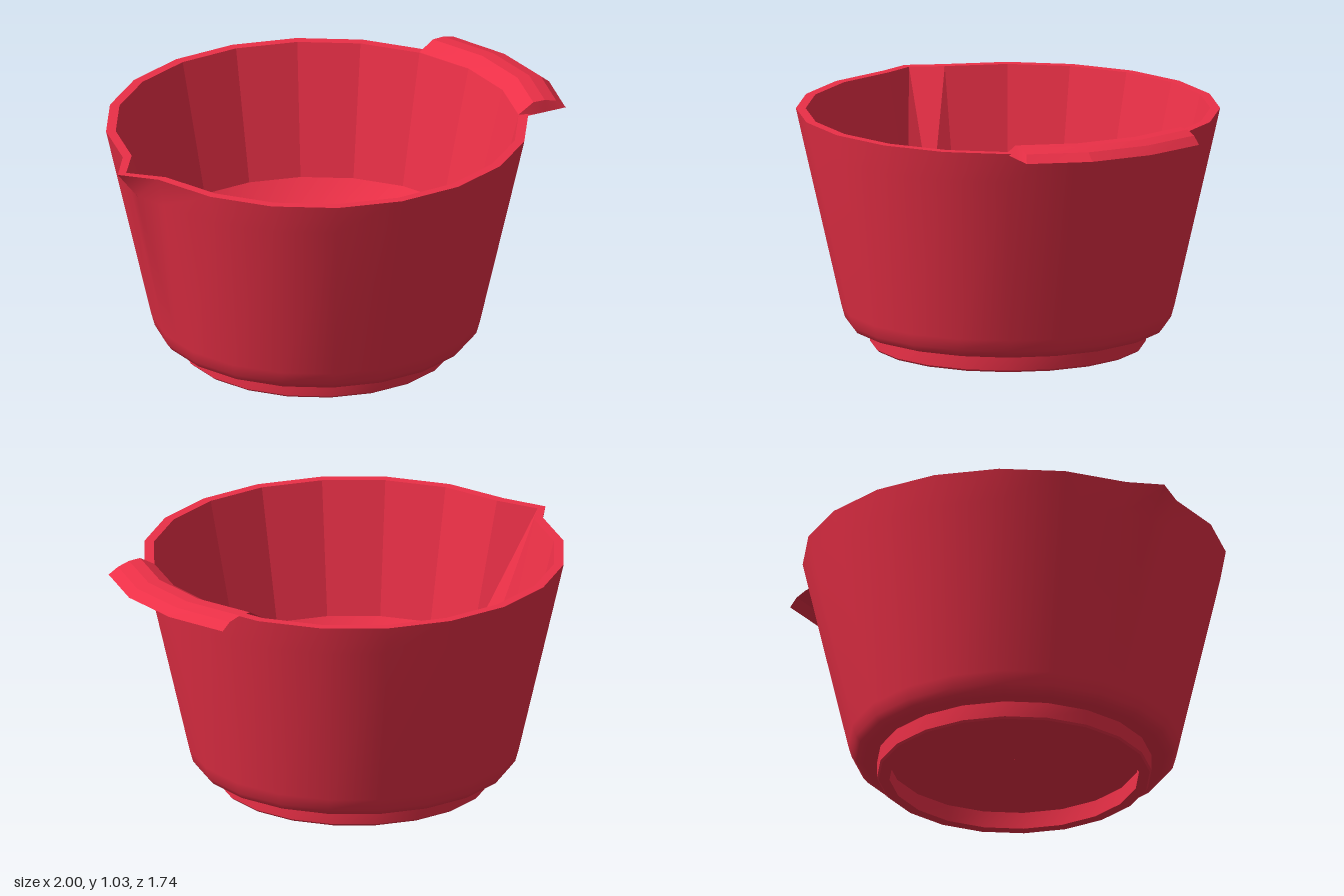
import * as THREE from 'three';
import { toCreasedNormals } from 'three/addons/utils/BufferGeometryUtils.js';

const CENTRE_X = -0.05;
const DEG = Math.PI / 180;
const SPOUT = 171; // angle of the spout column, degrees

// 20 columns, plus one in the middle of the side that carries the spout
const columns = [];
for (let a = 0; a < 360; a += 18) {
  columns.push(a);
  if (a === 162) columns.push(SPOUT);
}

// Skin a grid of points given as rows
function loft(rows, closed, crease) {
  const n = rows[0].length;
  const index = [];
  for (let i = 0; i < rows.length - 1; i++) {
    for (let j = 0; j < (closed ? n : n - 1); j++) {
      const k = (j + 1) % n;
      const a = i * n + j, b = i * n + k, c = a + n, d = b + n;
      index.push(a, c, b, b, c, d);
    }
  }
  const g = new THREE.BufferGeometry();
  g.setAttribute('position', new THREE.Float32BufferAttribute(rows.flat(2), 3));
  g.setIndex(index);
  return toCreasedNormals(g, crease);
}

// One ring of the bowl: [radius, height, optional spout radius, spout drop]
function ring([r, y, spout, drop = 0]) {
  return columns.map((a) => {
    let rr = r, yy = y, ang = a;
    if (a === SPOUT) {
      rr = spout ?? r * Math.cos(9 * DEG);
      yy = y - drop;
      if (spout) ang = 172;
    }
    return [CENTRE_X + rr * Math.cos(ang * DEG), yy, rr * Math.sin(ang * DEG)];
  });
}

export function createModel() {
  const group = new THREE.Group();
  const red = new THREE.MeshStandardMaterial({ color: 0xeb3047 });
  const redThin = new THREE.MeshStandardMaterial({ color: 0xeb3047, side: THREE.DoubleSide });
  const add = (name, geometry, material = red) => {
    const mesh = new THREE.Mesh(geometry, material);
    mesh.name = name;
    group.add(mesh);
  };

  // Recessed foot ring
  add('foot', loft([
    [0.001, 0.074], [0.518, 0.074], [0.513, 0], [0.557, 0], [0.565, 0.008], [0.565, 0.076],
  ].map(ring), true, 0.6));

  // Outer wall with rounded base, rim and spout
  add('outerWall', loft([
    [0.56, 0.075], [0.62, 0.075], [0.65, 0.085], [0.669, 0.11], [0.683, 0.16],
    [0.842, 0.86, 0.868], [0.87, 0.986, 0.96, 0.011], [0.83, 0.986, 0.92, 0.011],
  ].map(ring), true, 0.95));

  // Faceted inner wall, the spout groove fading out towards the floor
  add('innerWall', loft([
    [0.83, 0.986, 0.92, 0.011], [0.695, 0.44],
  ].map(ring), true, 0.05));

  // Dished floor, a shallow spherical cap
  const capR = 0.695, depth = 0.28;
  const sphere = (capR * capR + depth * depth) / (2 * depth);
  const floor = [];
  for (let i = 0; i <= 8; i++) {
    const r = Math.max(capR * (1 - i / 8), 0.001);
    floor.push([r, 0.44 - depth + sphere - Math.sqrt(sphere * sphere - r * r)]);
  }
  add('floor', loft(floor.map(ring), true, 0.6));

  // Arched grip reaching out from the inner rim, its front end turned down
  const outer = [[0.83, -0.535], [0.95, -0.29], [0.997, -0.02], [0.955, 0.235]];
  const section = [[1, 0.98], [0.82, 1.012], [0.57, 1.027], [0.32, 1.028], [0, 0.988]];
  const grip = section.map(([t, y]) => {
    const row = outer.map(([x, z], j) => {
      const a = (-36 + 18 * j) * DEG;
      const x0 = CENTRE_X + 0.83 * Math.cos(a), z0 = 0.83 * Math.sin(a);
      return [x0 + (x - x0) * t, y, z0 + (z - z0) * t];
    });
    const [x, , z] = row[3];
    row.push([x, 0.98, z + 0.014]);
    return row;
  });
  add('handle', loft(grip, false, 0.2), redThin);

  return group;
}
